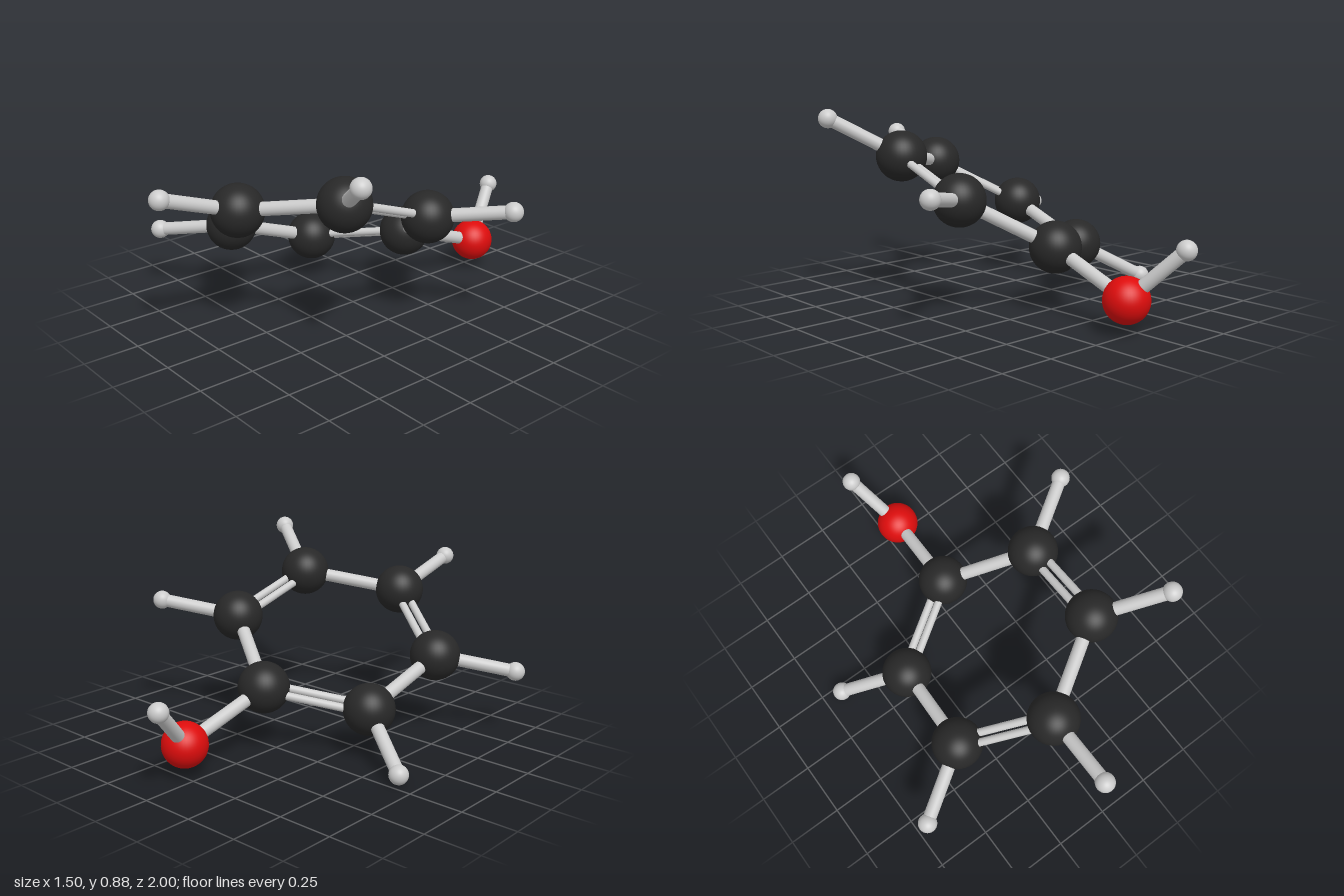
import * as THREE from 'three';

export function createModel() {
  const group = new THREE.Group();
  const carbonMat = new THREE.MeshStandardMaterial({ color: 0x282828 });
  const oxygenMat = new THREE.MeshStandardMaterial({ color: 0xdd0c0c });
  const greyMat = new THREE.MeshStandardMaterial({ color: 0xcccccc });
  const V = (p) => new THREE.Vector3(...p);

  // Atom centres, going round the ring; ringHydrogens[i] sits on carbons[i + 1]
  const carbons = [
    [0.025, 0.295, -0.298], [0.394, 0.518, -0.09], [0.365, 0.666, 0.352],
    [-0.034, 0.59, 0.603], [-0.4, 0.37, 0.4], [-0.371, 0.218, -0.046],
  ].map(V);
  const ringHydrogens = [
    [0.706, 0.579, -0.288], [0.65, 0.842, 0.51], [-0.056, 0.708, 0.957],
    [-0.71, 0.309, 0.6], [-0.658, 0.044, -0.206],
  ].map(V);
  const oxygen = V([0.057, 0.147, -0.739]);
  const hydroxylHydrogen = V([-0.046, 0.373, -0.957]);

  function atom(name, centre, radius, material) {
    const mesh = new THREE.Mesh(new THREE.SphereGeometry(radius, 40, 28), material);
    mesh.name = name;
    mesh.position.copy(centre);
    group.add(mesh);
  }

  // Rod between two points, optionally shifted sideways
  function bond(name, a, b, radius = 0.03, shift = new THREE.Vector3()) {
    const dir = b.clone().sub(a);
    const mesh = new THREE.Mesh(
      new THREE.CylinderGeometry(radius, radius, dir.length(), 28), greyMat);
    mesh.name = name;
    mesh.position.copy(a).add(b).multiplyScalar(0.5).add(shift);
    mesh.quaternion.setFromUnitVectors(new THREE.Vector3(0, 1, 0), dir.normalize());
    group.add(mesh);
  }

  // Ring plane, used to lay double bonds side by side
  const normal = carbons[2].clone().sub(carbons[0])
    .cross(carbons[4].clone().sub(carbons[0])).normalize();

  // Ring of carbons with alternating single and double bonds
  carbons.forEach((c, i) => {
    atom('carbon' + (i + 1), c, 0.116, carbonMat);
    const next = carbons[(i + 1) % 6];
    if (i % 2 === 0) {
      bond('singleBond' + (i + 1), c, next);
    } else {
      const side = next.clone().sub(c).cross(normal).normalize();
      for (const s of [-1, 1]) {
        bond('doubleBond' + (i + 1), c, next, 0.018, side.clone().multiplyScalar(s * 0.023));
      }
    }
  });

  // Outer hydrogens
  ringHydrogens.forEach((h, i) => {
    atom('hydrogen' + (i + 1), h, 0.043, greyMat);
    bond('hydrogenBond' + (i + 1), carbons[i + 1], h);
  });

  // Hydroxyl arm
  atom('oxygen', oxygen, 0.1, oxygenMat);
  atom('hydroxylHydrogen', hydroxylHydrogen, 0.043, greyMat);
  bond('oxygenBond', carbons[0], oxygen);
  bond('hydroxylBond', oxygen, hydroxylHydrogen);

  return group;
}
